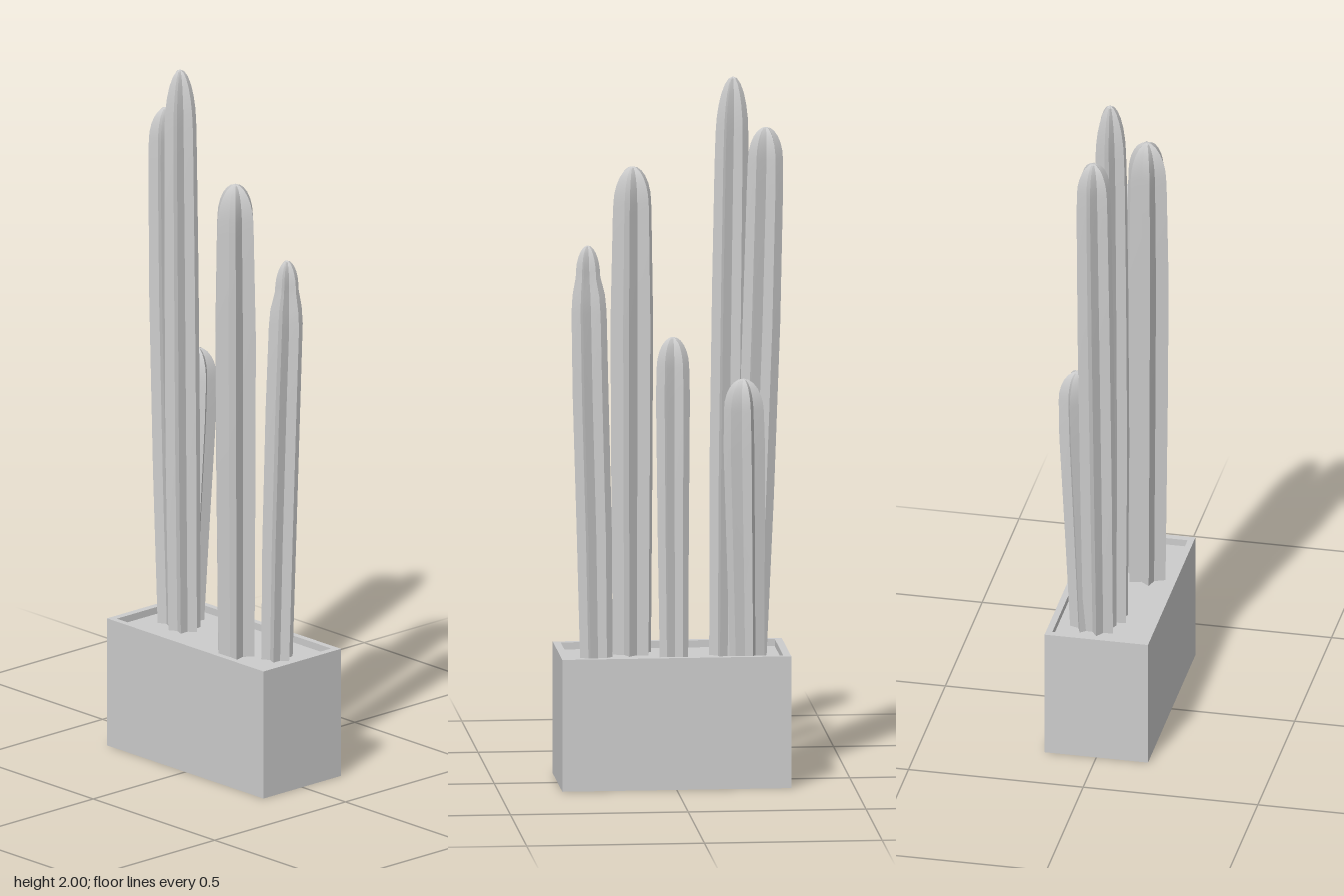
import * as THREE from 'three';
import { toCreasedNormals } from 'three/addons/utils/BufferGeometryUtils.js';

const RIBS = 6;
const SOIL_Y = 0.355;

// Each column: tip height, dome height, rib rotation in degrees, and stations [y, x, z, radius]
const CACTI = [
  { top: 2.0, dome: 0.16, turn: 25, stations: [[0.33, -0.01, -0.152, 0.047], [0.9, -0.012, -0.157, 0.051], [1.4, -0.011, -0.163, 0.05], [1.75, -0.01, -0.168, 0.048], [2, -0.008, -0.172, 0.044]] },
  { top: 1.86, dome: 0.09, turn: 30, stations: [[0.33, 0.012, -0.215, 0.049], [0.8, 0.014, -0.233, 0.052], [1.3, 0.017, -0.25, 0.053], [1.7, 0.02, -0.26, 0.051], [1.86, 0.021, -0.262, 0.047]] },
  { top: 1.155, dome: 0.09, turn: 45, stations: [[0.33, 0.048, -0.207, 0.049], [0.65, 0.06, -0.202, 0.054], [0.95, 0.072, -0.197, 0.059], [1.155, 0.08, -0.194, 0.055]] },
  { top: 1.27, dome: 0.085, turn: 27, stations: [[0.33, 0.04, -0.002, 0.04], [0.7, 0.04, 0, 0.044], [1.1, 0.04, 0.001, 0.048], [1.27, 0.04, 0.001, 0.044]] },
  { top: 1.74, dome: 0.1, turn: 12, stations: [[0.33, -0.053, 0.108, 0.058], [0.9, -0.055, 0.108, 0.063], [1.3, -0.056, 0.108, 0.065], [1.6, -0.056, 0.107, 0.059], [1.74, -0.055, 0.106, 0.054]] },
  { top: 1.53, dome: 0.07, turn: 25, stations: [[0.33, 0.004, 0.213, 0.046], [0.7, 0.008, 0.219, 0.05], [1.1, 0.012, 0.23, 0.051], [1.34, 0.018, 0.235, 0.05], [1.39, 0.018, 0.236, 0.046], [1.44, 0.019, 0.238, 0.035], [1.53, 0.019, 0.239, 0.03]] },
];

// Linear interpolation along the stations
function sample(stations, y) {
  let i = 0;
  while (i < stations.length - 2 && y > stations[i + 1][0]) i++;
  const a = stations[i], b = stations[i + 1];
  const t = (y - a[0]) / (b[0] - a[0]);
  return [1, 2, 3].map(k => THREE.MathUtils.lerp(a[k], b[k], t));
}

// Star-section column lofted upward and closed by a ribbed dome
function cactusGeometry({ top, dome, turn, stations }) {
  const sides = RIBS * 2, start = top - dome, rows = [];
  const heights = stations.map(s => s[0]).filter(y => y < start - 0.01).map(y => [y, 1]);
  for (let k = 0; k <= 6; k++) {
    const a = (k / 6) * Math.PI / 2;
    heights.push([start + dome * Math.sin(a), k === 6 ? 0 : Math.cos(a)]);
  }
  for (const [y, scale] of heights) {
    const [x, z, r] = sample(stations, y);
    const ring = [];
    for (let j = 0; j < sides; j++) {
      const a = THREE.MathUtils.degToRad(turn) + (j / sides) * Math.PI * 2;
      const rr = r * scale * (j % 2 ? 0.62 : 1);
      ring.push([x + rr * Math.cos(a), y, z + rr * Math.sin(a)]);
    }
    rows.push(ring);
  }
  const positions = [];
  for (let i = 0; i < rows.length - 1; i++) {
    for (let j = 0; j < sides; j++) {
      const n = (j + 1) % sides;
      const a = rows[i][j], b = rows[i + 1][j], c = rows[i + 1][n], d = rows[i][n];
      positions.push(...a, ...b, ...d);
      if (i < rows.length - 2) positions.push(...b, ...c, ...d);
    }
  }
  const geometry = new THREE.BufferGeometry();
  geometry.setAttribute('position', new THREE.Float32BufferAttribute(positions, 3));
  return toCreasedNormals(geometry, 0.5);
}

function rectangle(PathType, w, d) {
  return new PathType([[-w, -d], [w, -d], [w, d], [-w, d]].map(p => new THREE.Vector2(...p)));
}

export function createModel() {
  const group = new THREE.Group();
  const material = new THREE.MeshStandardMaterial({ color: 0xcccccc });
  const add = (name, geometry) => {
    const mesh = new THREE.Mesh(geometry, material);
    mesh.name = name;
    group.add(mesh);
    return mesh;
  };

  // Planter walls with an open top
  const walls = rectangle(THREE.Shape, 0.148, 0.322);
  walls.holes.push(rectangle(THREE.Path, 0.13, 0.301));
  add('planterWalls', new THREE.ExtrudeGeometry(walls, { depth: 0.375, bevelEnabled: false }).rotateX(-Math.PI / 2));

  // Soil block filling the planter down to its base
  add('soil', new THREE.BoxGeometry(0.26, SOIL_Y, 0.602)).position.y = SOIL_Y / 2;

  // Ribbed cactus columns
  CACTI.forEach((spec, i) => add(`cactus${i + 1}`, cactusGeometry(spec)));
  return group;
}
